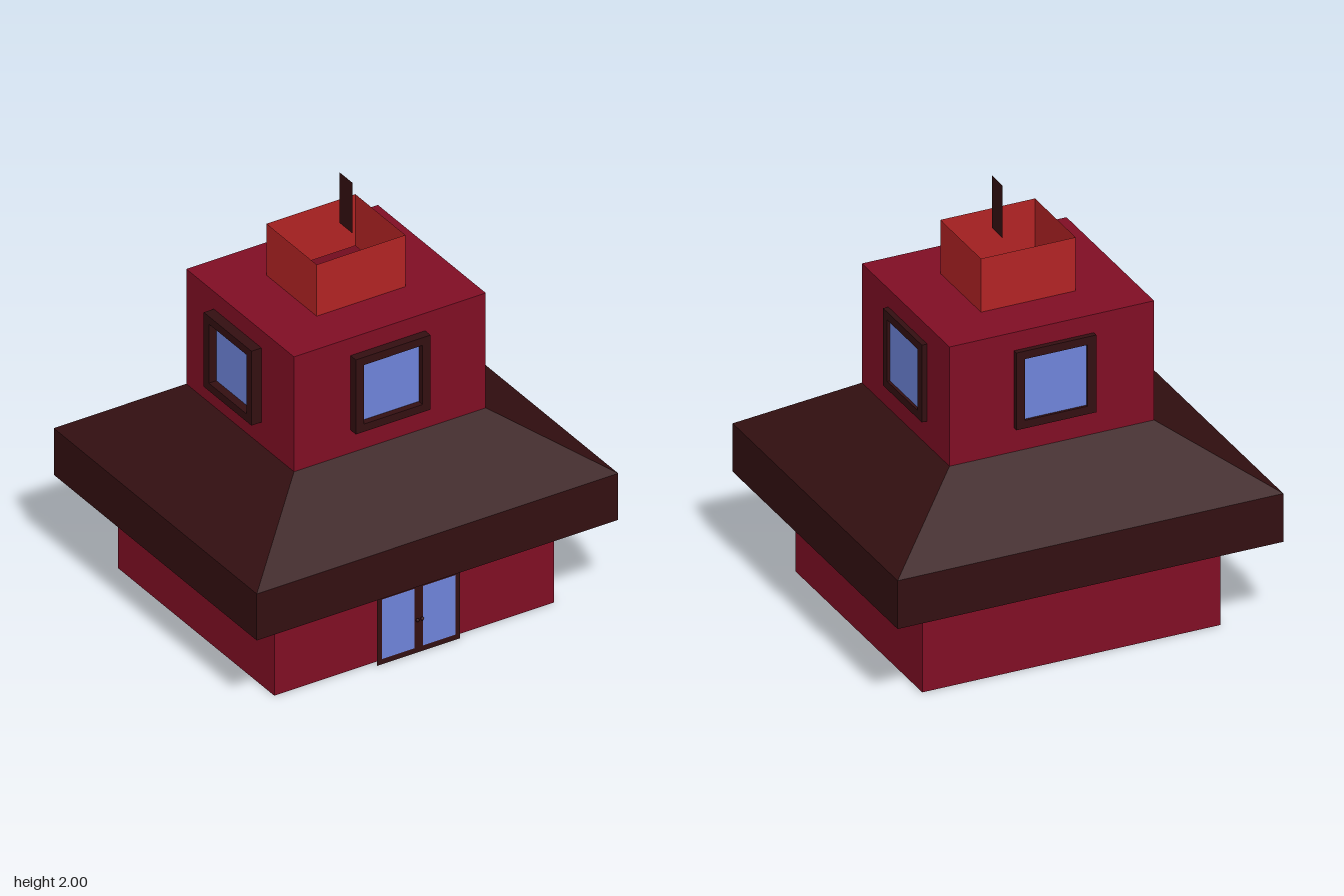
import * as THREE from 'three';

const mat = (name, color, side = THREE.DoubleSide) => {
  const m = new THREE.MeshStandardMaterial({ color, side });
  m.name = name;
  return m;
};

// Hollow rectangular shell through rings of [halfWidth, halfDepth, y]
function shell(rings) {
  const pos = [];
  const corner = ([w, d, y], k) => {
    const [sx, sz] = [[1, 1], [1, -1], [-1, -1], [-1, 1]][k % 4];
    return [sx * w, y, sz * d];
  };
  for (let i = 0; i < rings.length - 1; i++) {
    for (let k = 0; k < 4; k++) {
      const a = corner(rings[i], k), b = corner(rings[i], k + 1);
      const c = corner(rings[i + 1], k + 1), d = corner(rings[i + 1], k);
      pos.push(...a, ...b, ...c, ...a, ...c, ...d);
    }
  }
  const g = new THREE.BufferGeometry();
  g.setAttribute('position', new THREE.Float32BufferAttribute(pos, 3));
  g.computeVertexNormals();
  return g;
}

// Rectangle path from two opposite corners
function rect(path, x0, y0, x1, y1) {
  path.moveTo(x0, y0);
  path.lineTo(x1, y0);
  path.lineTo(x1, y1);
  path.lineTo(x0, y1);
  path.closePath();
  return path;
}

export function createModel() {
  const model = new THREE.Group();
  const wall = mat('wall red', 0x800e24);
  const brown = mat('dark brown', 0x330f11);
  const brick = mat('chimney red', 0xb22324);
  const glass = mat('window blue', 0x6e84da);

  const add = (parent, name, geo, material, x = 0, y = 0, z = 0) => {
    const m = new THREE.Mesh(geo, material);
    m.name = name;
    m.position.set(x, y, z);
    parent.add(m);
    return m;
  };

  // Open, stacked building shells
  add(model, 'lowerWalls', shell([[0.7, 0.612, 0], [0.7, 0.612, 0.435]]), wall);
  add(model, 'roof', shell([
    [0.7, 0.612, 0.435], [0.905, 0.795, 0.435], [0.905, 0.795, 0.665], [0.48, 0.422, 0.937],
  ]), brown);
  add(model, 'upperWalls', shell([
    [0.48, 0.422, 0.937], [0.48, 0.422, 1.505], [0.222, 0.196, 1.505],
  ]), wall);
  add(model, 'chimney', shell([[0.222, 0.196, 1.505], [0.222, 0.196, 1.76]]), brick);

  // Thin upright plate above the chimney
  const plate = add(model, 'chimneyPlate', new THREE.PlaneGeometry(0.1, 0.25), brown, 0.05, 1.875, 0);
  plate.rotation.y = Math.PI / 2;

  // Framed window on each side of the upper storey: [name, x, z, turn, wall distance, depth]
  const windows = [
    ['frontWindow', -0.01, 0.422, 0, 0.042],
    ['backWindow', -0.01, -0.422, Math.PI, 0.024],
    ['leftWindow', 0.48, -0.02, Math.PI / 2, 0.025],
    ['rightWindow', -0.48, -0.02, -Math.PI / 2, 0.05],
  ];
  for (const [name, x, z, turn, depth] of windows) {
    const w = new THREE.Group();
    w.name = name;
    w.position.set(x, 1.234, z);
    w.rotation.y = turn;
    const frame = rect(new THREE.Shape(), -0.187, -0.184, 0.187, 0.184);
    frame.holes.push(rect(new THREE.Path(), -0.147, -0.146, 0.147, 0.146));
    add(w, 'windowFrame', new THREE.ExtrudeGeometry(frame, { depth, bevelEnabled: false }), brown);
    add(w, 'windowPane', new THREE.PlaneGeometry(0.294, 0.292), glass, 0, 0, 0.012);
    model.add(w);
  }

  // Double door: flat frame just ahead of the wall, two panes and knobs
  const door = new THREE.Group();
  door.name = 'frontDoor';
  door.position.set(0.003, 0, 0.643);
  const frame = rect(new THREE.Shape(), -0.208, 0, 0.208, 0.34);
  for (const s of [-1, 1]) {
    frame.holes.push(rect(new THREE.Path(), s * 0.103 - 0.081, 0.026, s * 0.103 + 0.081, 0.32));
    add(door, 'doorPane', new THREE.PlaneGeometry(0.162, 0.294), glass, s * 0.103, 0.173, 0);
    add(door, 'doorKnob', new THREE.SphereGeometry(0.008, 10, 8), brown, s * 0.012, 0.167, 0.01);
  }
  add(door, 'doorFrame', new THREE.ShapeGeometry(frame), brown);
  model.add(door);

  return model;
}
